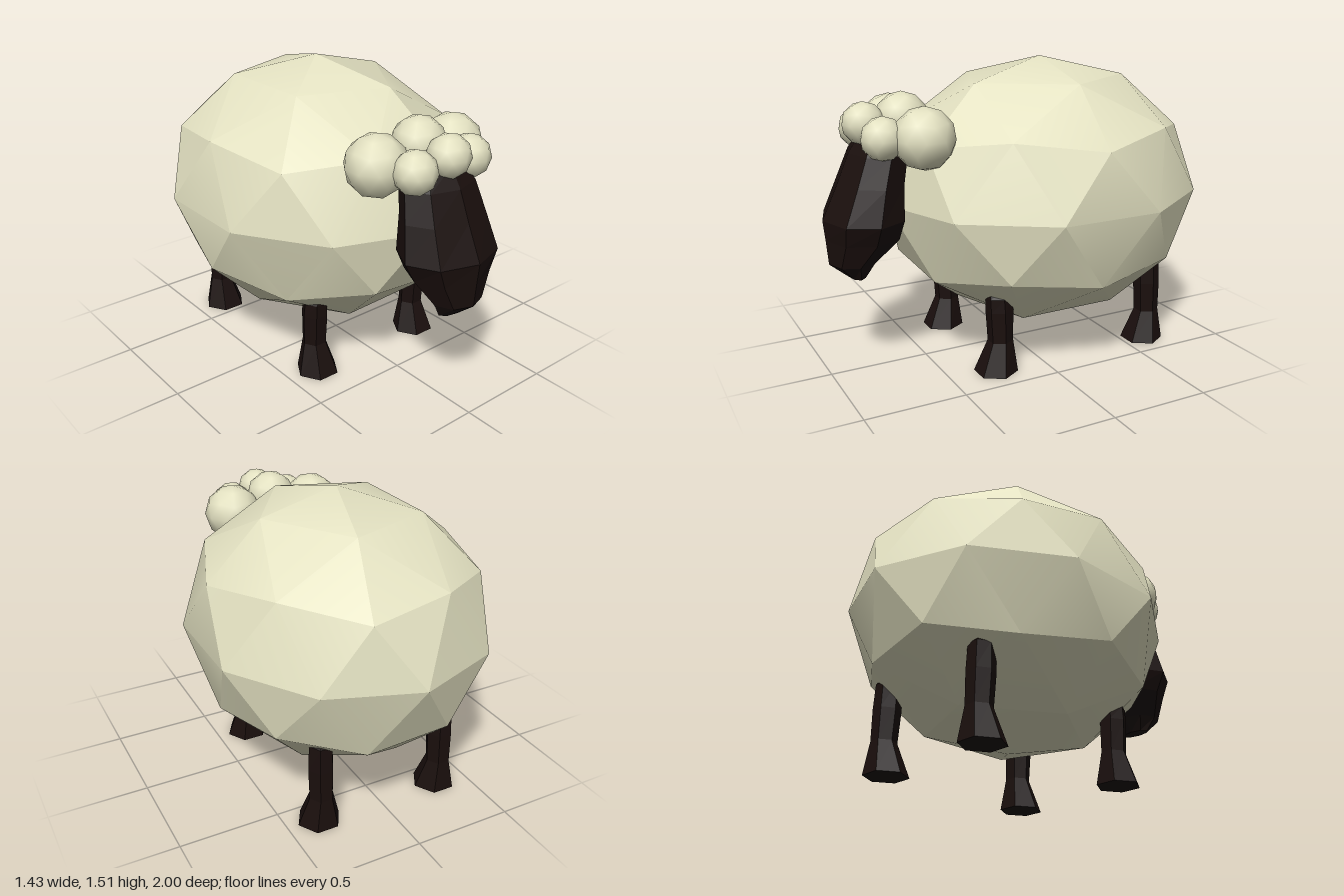
import * as THREE from 'three';
import { toCreasedNormals } from 'three/addons/utils/BufferGeometryUtils.js';

const wool = new THREE.MeshStandardMaterial({ color: 0xe4e2c2 });
const skin = new THREE.MeshStandardMaterial({ color: 0x1a0f0d, flatShading: true });

// Low-poly ball with a vertex at the top and at the bottom
function ball(rx, ry, rz) {
  const g = new THREE.IcosahedronGeometry(1, 1);
  g.rotateZ(-Math.atan(2 / (1 + Math.sqrt(5))));
  g.scale(rx, ry, rz);
  return g;
}

// Closed skin over horizontal rings, bottom to top: [y, half width, front z, back z]
function loft(rings, sides) {
  const pos = [], index = [], n = rings.length;
  const sinMax = sides % 4 === 0 ? 1 : Math.sin(Math.PI / 3);
  for (const [y, w, zf, zb] of rings) {
    for (let i = 0; i < sides; i++) {
      const a = (i / sides) * Math.PI * 2;
      pos.push(w * Math.cos(a), y, (zf + zb) / 2 + ((zf - zb) / 2) * (Math.sin(a) / sinMax));
    }
  }
  for (let r = 0; r < n - 1; r++) {
    for (let i = 0; i < sides; i++) {
      const j = (i + 1) % sides;
      const b0 = r * sides + i, b1 = r * sides + j;
      index.push(b0, b0 + sides, b1, b1, b0 + sides, b1 + sides);
    }
  }
  const top = (n - 1) * sides;
  for (let i = 1; i < sides - 1; i++) {
    index.push(0, i, i + 1, top, top + i + 1, top + i);
  }
  const g = new THREE.BufferGeometry();
  g.setAttribute('position', new THREE.Float32BufferAttribute(pos, 3));
  g.setIndex(index);
  const flat = g.toNonIndexed();
  flat.computeVertexNormals();
  return flat;
}

export function createModel() {
  const model = new THREE.Group();
  const add = (name, geometry, material, x = 0, y = 0, z = 0) => {
    const mesh = new THREE.Mesh(geometry, material);
    mesh.name = name;
    mesh.position.set(x, y, z);
    model.add(mesh);
  };

  // Woolly body
  add('body', toCreasedNormals(ball(0.75, 0.683, 0.84), 0.35), wool, 0, 0.823, -0.16);

  // Head, from chin to crown
  add('head', loft([
    [0.495, 0.085, 0.89, 0.81],
    [0.57, 0.13, 0.98, 0.75],
    [0.69, 0.205, 0.99, 0.62],
    [0.79, 0.26, 1.0, 0.6],
    [0.96, 0.23, 0.92, 0.6],
    [1.1, 0.2, 0.86, 0.575],
    [1.19, 0.14, 0.8, 0.58],
  ], 8), skin);

  // Curls on the crown: [x, y, z, radius], side ones mirrored
  const curls = [
    [0, 1.245, 0.59, 0.13],
    [0, 1.235, 0.78, 0.104],
    [0.235, 1.185, 0.57, 0.15],
    [0.167, 1.187, 0.745, 0.105],
  ];
  for (const [x, y, z, r] of curls) {
    for (const side of x ? [1, -1] : [1]) {
      add('curl', ball(r, r, r), wool, side * x, y, z);
    }
  }

  // Legs with flared hooves
  const leg = (height) => loft([
    [0, 0.11, 0.095, -0.095],
    [0.16, 0.062, 0.03, -0.08],
    [0.32, 0.066, 0.04, -0.08],
    [height - 0.03, 0.06, 0.04, -0.075],
    [height, 0.03, 0.03, -0.05],
  ], 6);
  for (const side of [1, -1]) {
    add('frontLeg', leg(0.42), skin, side * 0.333, 0, 0.26);
    add('backLeg', leg(0.48), skin, side * 0.333, 0, -0.62);
  }
  return model;
}
